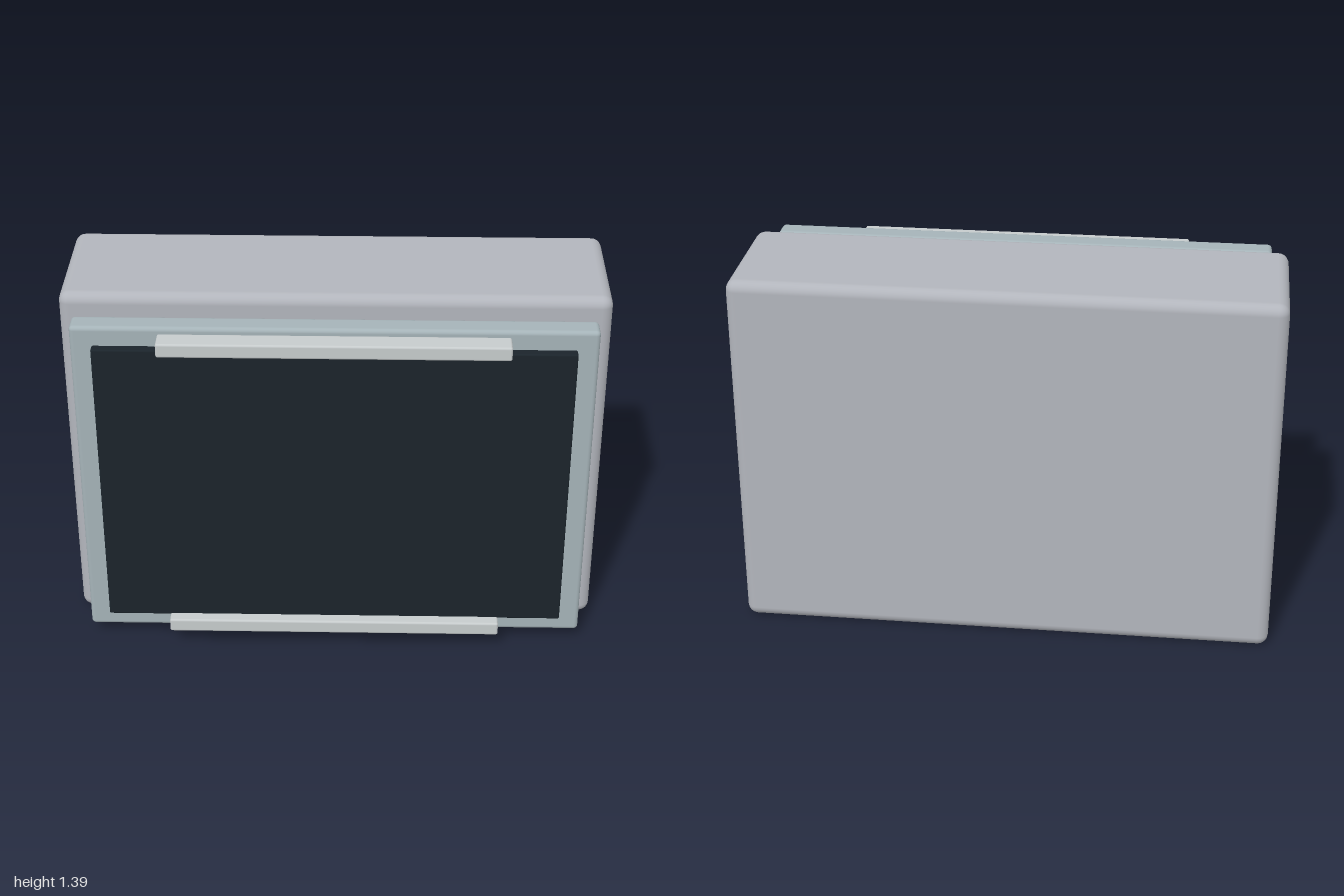
import * as THREE from 'three';
import { RoundedBoxGeometry } from 'three/addons/geometries/RoundedBoxGeometry.js';

const paint = (color) => new THREE.MeshStandardMaterial({ color });

export function createModel() {
  const model = new THREE.Group();
  const casing = paint(0xb2b5bc);
  const frame = paint(0xa5b3b8);
  const bright = paint(0xc6cbcc);
  const dark = paint(0x30373c);
  const glass = paint(0x1b242b);

  // Soft-edged block given by its limits on each axis
  function block(name, material, [x0, x1], [y0, y1], [z0, z1], radius) {
    const geometry = new RoundedBoxGeometry(x1 - x0, y1 - y0, z1 - z0, 3, radius);
    const mesh = new THREE.Mesh(geometry, material);
    mesh.name = name;
    mesh.position.set((x0 + x1) / 2, (y0 + y1) / 2, (z0 + z1) / 2);
    model.add(mesh);
  }

  // Deep housing at the back
  block('housing', casing, [-1, 1], [0, 1.395], [-0.39, 0.145], 0.04);

  // Dark gasket, front plate and screen, stacked forwards
  block('gasket', dark, [-0.89, 0.89], [0.095, 1.307], [0.153, 0.195], 0.008);
  block('frontPlate', frame, [-0.94, 0.94], [0.047, 1.353], [0.222, 0.312], 0.016);
  block('screen', glass, [-0.862, 0.862], [0.123, 1.28], [0.308, 0.346], 0.006);

  // Long rails above and below the screen
  for (const [name, y] of [['lowerRail', 0.102], ['upperRail', 1.302]]) {
    block(name, bright, [-0.627, 0.627], [y - 0.027, y + 0.027], [0.308, 0.39], 0.008);
  }

  // Small clips on the side edges of the screen
  for (const side of [-1, 1]) {
    for (const y of [0.187, 1.219]) {
      const x = side * 0.857;
      block('screenClip', bright, [x - 0.007, x + 0.007], [y - 0.014, y + 0.014], [0.316, 0.327], 0.002);
    }
  }

  return model;
}
